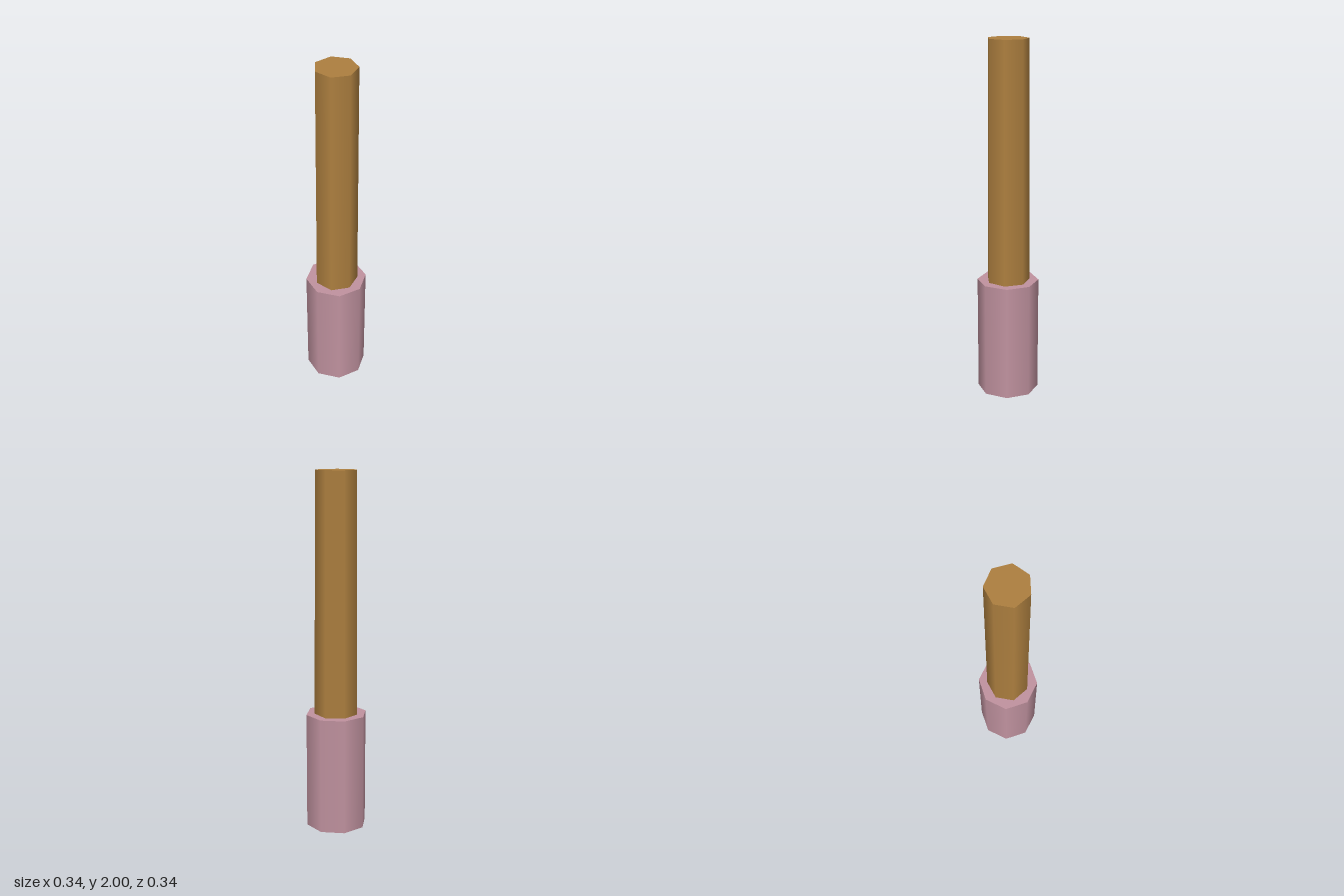
import * as THREE from 'three';

// Upright capped cylinder between two heights
function addPost(group, name, color, sides, rTop, rBottom, y0, y1, turn) {
  const geometry = new THREE.CylinderGeometry(rTop, rBottom, y1 - y0, sides, 1, false, turn);
  geometry.translate(0, (y0 + y1) / 2, 0);
  const mesh = new THREE.Mesh(geometry, new THREE.MeshStandardMaterial({ color }));
  mesh.name = name;
  group.add(mesh);
}

export function createModel() {
  const group = new THREE.Group();
  group.name = 'handledPost';

  // Eight-sided grip standing on the ground
  addPost(group, 'grip', 0xc0929f, 8, 0.172, 0.172, 0, 0.657, 0);

  // Slightly tapered seven-sided shaft, one corner pointing back, seated in the grip
  addPost(group, 'shaft', 0xad7f3f, 7, 0.114, 0.1225, 0.64, 2, Math.PI);

  return group;
}
